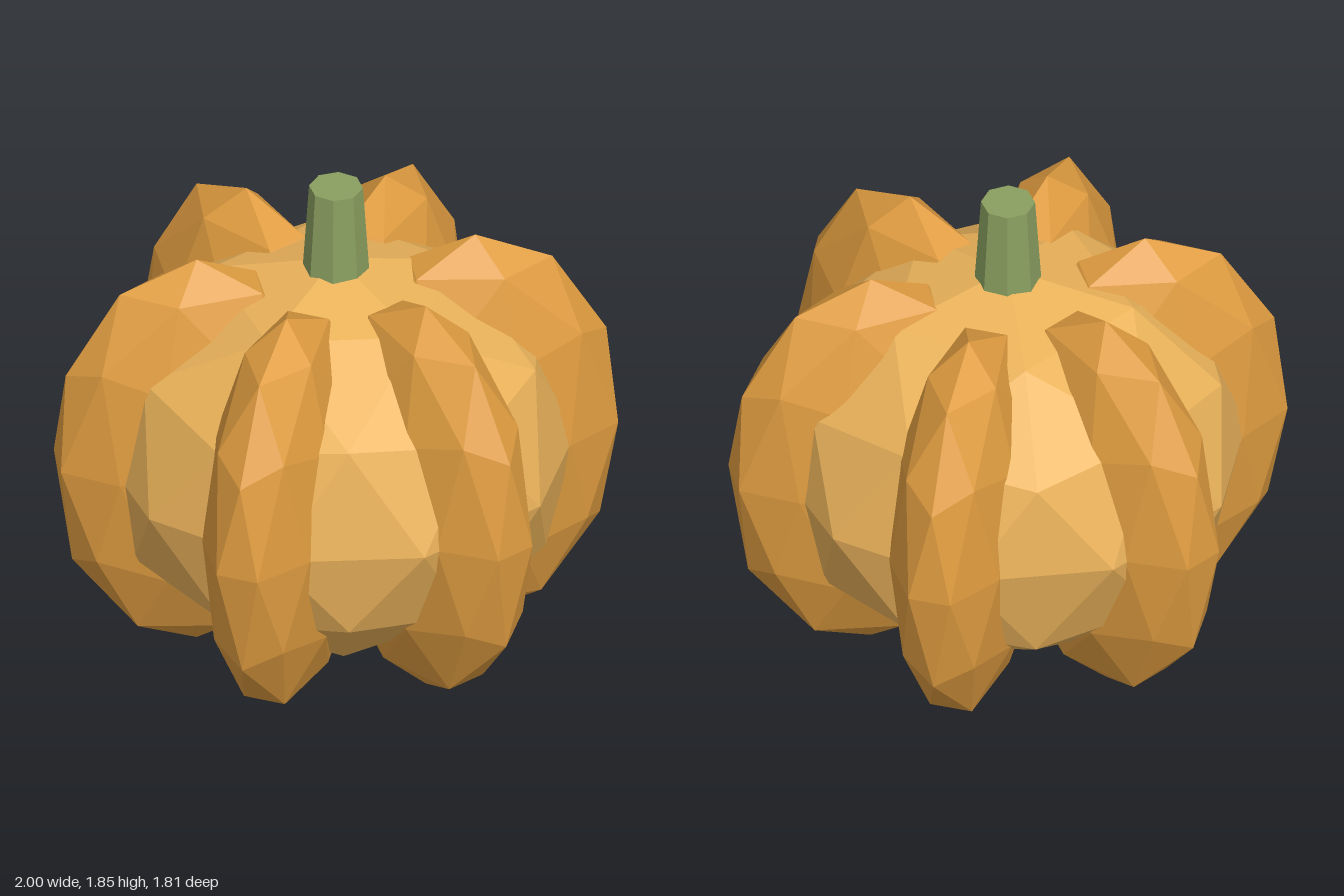
import * as THREE from 'three';

// Low-poly sphere with a vertex at each pole and an upper-ring vertex towards +x
function facetedBall(rx, ry, rz) {
  const g = new THREE.IcosahedronGeometry(1, 1);
  g.rotateZ(-Math.atan(2 / (1 + Math.sqrt(5))));
  g.scale(rx, ry, rz);
  g.computeVertexNormals();
  return g;
}

const flat = (color) => new THREE.MeshStandardMaterial({ color, flatShading: true });

function addMesh(parent, name, geometry, material) {
  const mesh = new THREE.Mesh(geometry, material);
  mesh.name = name;
  parent.add(mesh);
  return mesh;
}

export function createModel() {
  const model = new THREE.Group();
  model.name = 'pumpkin';
  const midY = 0.795;

  // Pale inner body
  const body = addMesh(model, 'body', facetedBall(0.858, 0.75, 0.858), flat(0xeab25a));
  body.position.y = midY;

  // Six narrow ribs, spaced evenly around the body
  const ribs = new THREE.Group();
  ribs.name = 'ribs';
  model.add(ribs);
  const ribGeometry = facetedBall(0.526, midY, 0.25);
  ribGeometry.translate(0.5, midY, 0);
  const ribMaterial = flat(0xdf9c40);
  for (let i = 0; i < 6; i++) {
    const rib = addMesh(ribs, `rib${i + 1}`, ribGeometry, ribMaterial);
    rib.rotation.y = (i * Math.PI) / 3;
  }

  // Tapered eight-sided stem, sunk into the body
  const stem = addMesh(model, 'stem', new THREE.CylinderGeometry(0.096, 0.122, 0.4, 8), flat(0x8a9f60));
  stem.position.y = 1.645;

  return model;
}
